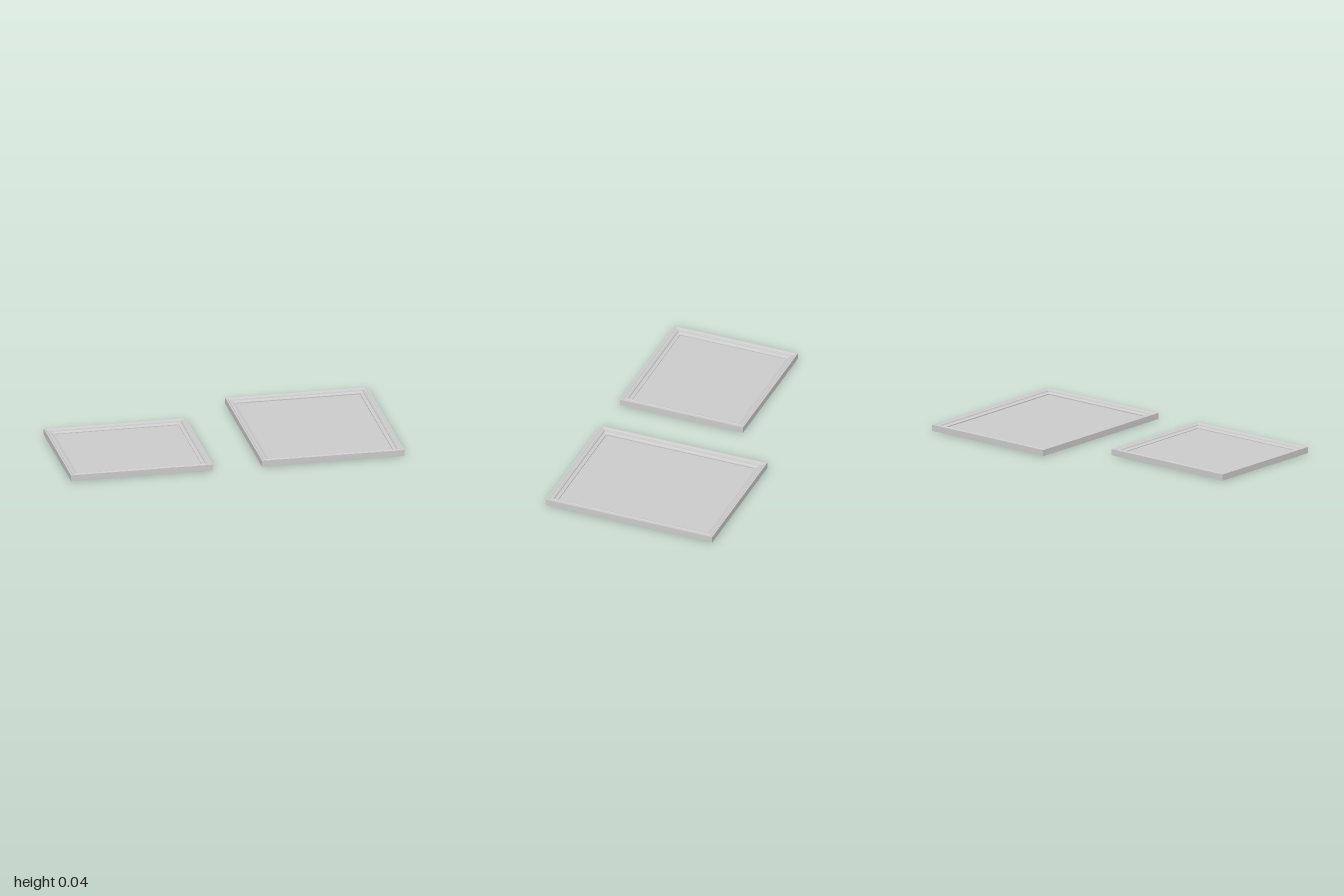
import * as THREE from 'three';

const material = new THREE.MeshStandardMaterial({ color: 0xcccccc, flatShading: true });

// Moulding section: [distance inwards from the outer edge, height]
const PROFILE = [
  [0, 0], [0, 0.037], [0.01, 0.037], [0.014, 0.033], [0.018, 0.031], [0.026, 0.031],
  [0.03, 0.034], [0.034, 0.033], [0.037, 0.026], [0.045, 0.022], [0.055, 0.02], [0.055, 0],
];
const CORNERS = [[1, 1], [1, -1], [-1, -1], [-1, 1]];

// Sweeps the section round a rectangle with mitred corners
function mouldingGeometry(width, depth) {
  const point = (k, i) => {
    const [sx, sz] = CORNERS[k % 4];
    const [d, y] = PROFILE[i % PROFILE.length];
    return [sx * (width / 2 - d), y, sz * (depth / 2 - d)];
  };
  const positions = [];
  for (let k = 0; k < 4; k++) {
    for (let i = 0; i < PROFILE.length; i++) {
      const a = point(k, i), b = point(k + 1, i), c = point(k + 1, i + 1), d = point(k, i + 1);
      positions.push(...a, ...b, ...c, ...a, ...c, ...d);
    }
  }
  const geometry = new THREE.BufferGeometry();
  geometry.setAttribute('position', new THREE.Float32BufferAttribute(positions, 3));
  geometry.computeVertexNormals();
  return geometry;
}

// One frame lying on its back, with a flat panel set inside the moulding
function pictureFrame(name, x0, x1, z0, z1, panelBottom, panelTop) {
  const group = new THREE.Group();
  group.name = name;
  const width = x1 - x0, depth = z1 - z0;

  const moulding = new THREE.Mesh(mouldingGeometry(width, depth), material);
  moulding.name = 'moulding';

  const thickness = panelTop - panelBottom;
  const panel = new THREE.Mesh(new THREE.BoxGeometry(width - 0.11, thickness, depth - 0.11), material);
  panel.name = 'panel';
  panel.position.y = panelBottom + thickness / 2;

  group.add(moulding, panel);
  group.position.set((x0 + x1) / 2, 0, (z0 + z1) / 2);
  return group;
}

export function createModel() {
  const model = new THREE.Group();
  model.name = 'pictureFrames';
  model.add(
    pictureFrame('smallFrame', -1, -0.148, -0.253, 0.527, 0.009, 0.016),
    pictureFrame('largeFrame', 0.146, 1, -0.527, 0.527, 0.002, 0.014),
  );
  return model;
}
